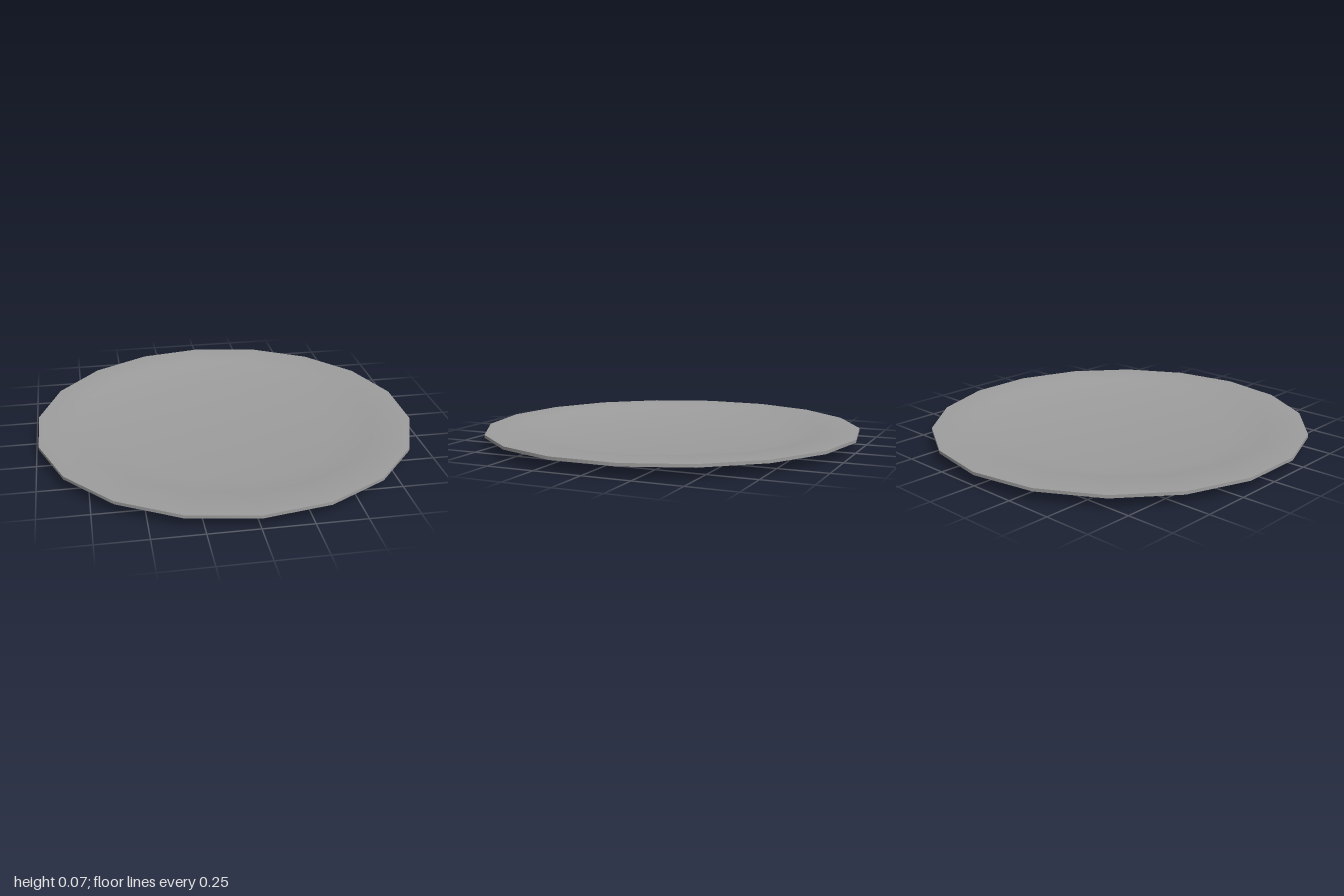
import * as THREE from 'three';

const SIDES = 18;
const material = new THREE.MeshStandardMaterial({ color: 0x9e9e9e });

// Revolve a [radius, height] profile, smooth within the part
function turned(name, profile) {
  const points = profile.map(([r, y]) => new THREE.Vector2(r, y));
  const mesh = new THREE.Mesh(new THREE.LatheGeometry(points, SIDES), material);
  mesh.name = name;
  return mesh;
}

export function createModel() {
  const plate = new THREE.Group();
  plate.name = 'plate';
  plate.add(
    // Flat foot, sloping wall and underside of the rim
    turned('underside', [[0, 0], [0.6, 0], [0.8, 0.054], [1, 0.054]]),
    // Thin outer edge
    turned('rimEdge', [[1, 0.054], [1, 0.07]]),
    // Rim top, sloping wall and shallow well
    turned('dishTop', [[1, 0.07], [0.8, 0.07], [0.6, 0.016], [0, 0.016]]),
  );
  return plate;
}
